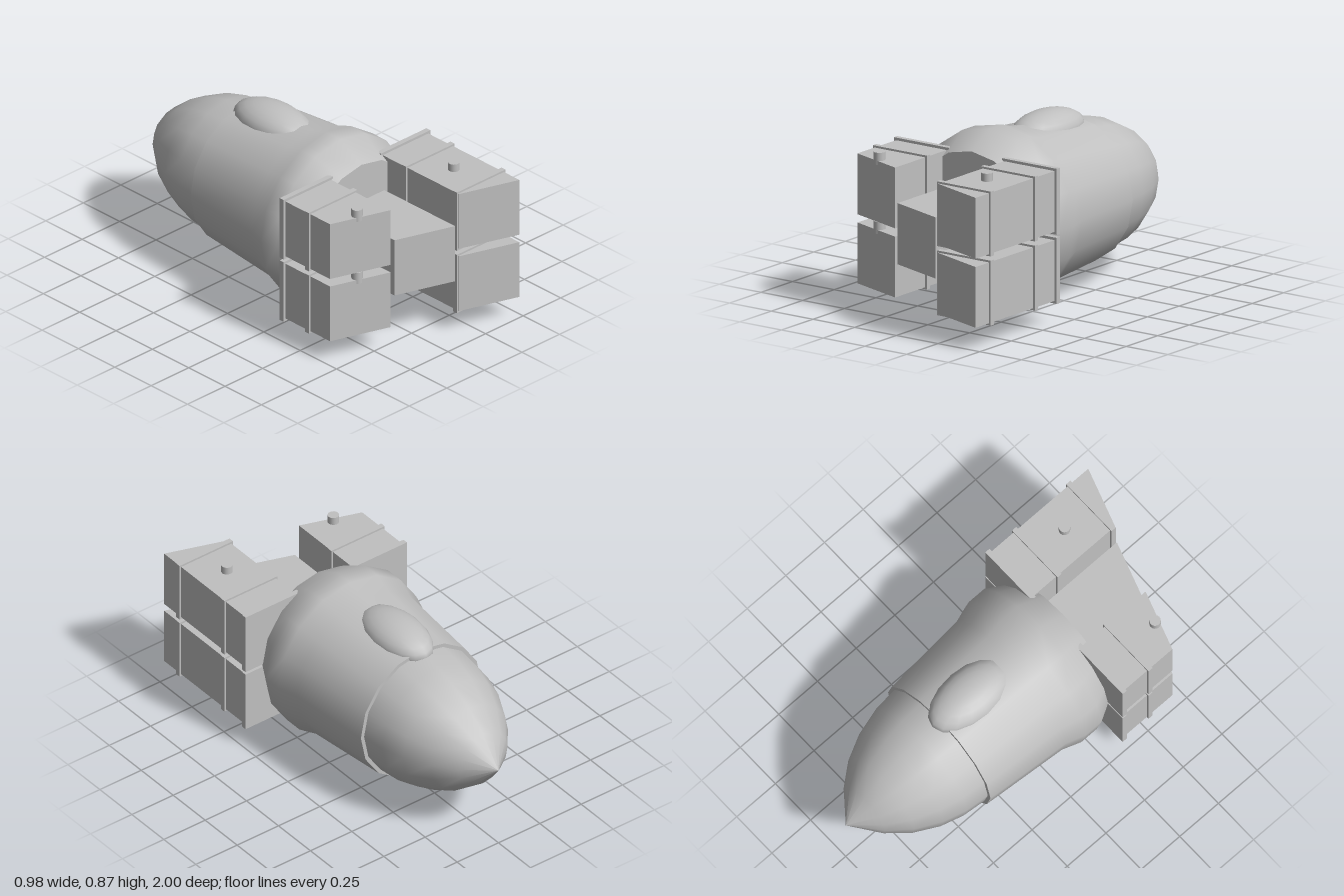
import * as THREE from 'three';

const AXIS_Y = 0.433;

export function createModel() {
  const model = new THREE.Group();
  model.name = 'rocketShip';
  const hull = new THREE.MeshStandardMaterial({ color: 0xc0c0c0 });
  hull.name = 'hullGrey';

  const add = (geometry, name, parent = model) => {
    const mesh = new THREE.Mesh(geometry, hull);
    mesh.name = name;
    parent.add(mesh);
    return mesh;
  };

  // Sixteen-sided hull sections turned around the z axis, given as [z, radius] from the rear forward
  const turned = (profile, name) => {
    const g = new THREE.LatheGeometry(profile.map(([z, r]) => new THREE.Vector2(r, -z)), 16);
    g.rotateX(-Math.PI / 2);
    add(g, name).position.y = AXIS_Y;
  };
  turned([[0.405, 0], [0.405, 0.352]], 'rearBulkhead');
  turned([[0.405, 0.352], [0.26, 0.433], [0.16, 0.433], [0.06, 0.4], [-0.395, 0.364]], 'fuselage');
  turned([[-0.395, 0.364], [-0.395, 0.33]], 'fuselageLip');
  turned([[-0.38, 0.346], [-0.52, 0.333], [-0.64, 0.3], [-0.77, 0.235], [-0.88, 0.147], [-1, 0]], 'noseCone');

  // Canopy bubble
  const canopy = add(new THREE.SphereGeometry(1, 16, 12), 'canopy');
  canopy.scale.set(0.135, 0.095, 0.24);
  canopy.position.set(0, 0.77, -0.2);

  // Box whose rear face follows one slanted plane across the ship
  const slantZ = (x) => 0.84 + 0.337 * x;
  const slantBox = (x0, x1, y0, y1, z0) => {
    const shape = new THREE.Shape([
      new THREE.Vector2(x0, z0), new THREE.Vector2(x1, z0),
      new THREE.Vector2(x1, slantZ(x1)), new THREE.Vector2(x0, slantZ(x0)),
    ]);
    const g = new THREE.ExtrudeGeometry(shape, { depth: y1 - y0, bevelEnabled: false });
    g.rotateX(Math.PI / 2);
    g.translate(0, y1, 0);
    return g;
  };

  add(slantBox(-0.152, 0.152, 0.283, 0.586, 0.38), 'centreEngine');

  // Four engine pods with bands and a small peg on each
  for (const side of [-1, 1]) {
    for (const [level, y0] of [['lower', 0.114], ['upper', 0.456]]) {
      const pod = new THREE.Group();
      pod.name = level + (side > 0 ? 'Left' : 'Right') + 'Engine';
      model.add(pod);
      const y1 = y0 + 0.301;
      const xs = [side * 0.172, side * 0.475].sort((a, b) => a - b);
      add(slantBox(xs[0], xs[1], y0, y1, 0.35), 'engineBox', pod);

      const bands = side > 0 ? [0.36, 0.53, 0.88] : [0.36, 0.53];
      bands.forEach((z, i) => {
        const grow = i === 0 ? 0.026 : 0.02;
        const band = add(new THREE.BoxGeometry(0.303 + grow, 0.301 + grow, 0.027), 'engineBand', pod);
        band.position.set(side * 0.3235, (y0 + y1) / 2, z);
      });

      const peg = add(new THREE.CylinderGeometry(0.028, 0.028, 0.06, 16), 'enginePeg', pod);
      peg.position.set(side * 0.322, y1 + 0.01, 0.707);
    }
  }
  return model;
}
